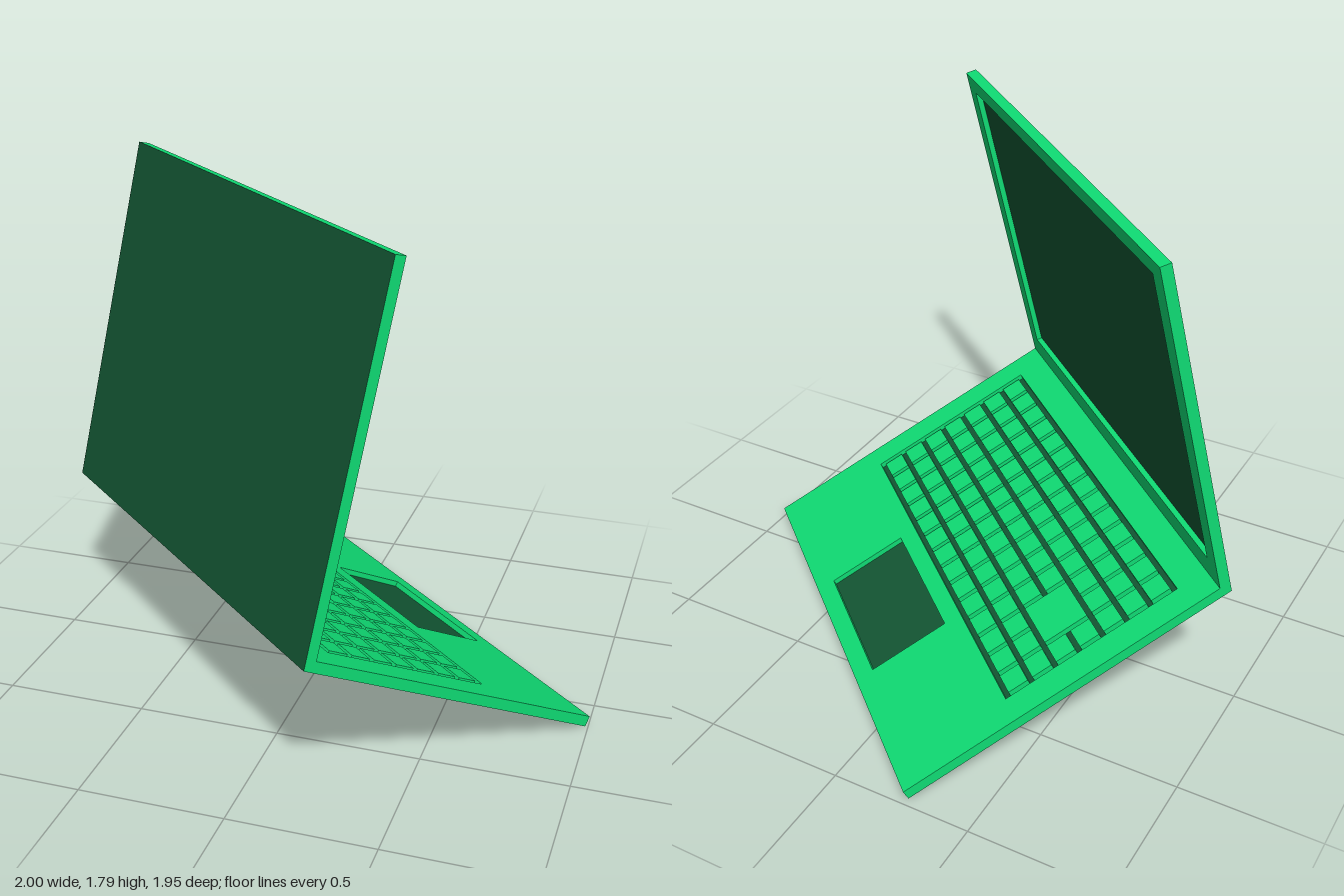
import * as THREE from 'three';

const green = new THREE.MeshStandardMaterial({ color: 0x0fdc74 });
const dark = new THREE.MeshStandardMaterial({ color: 0x135633 });

const WIDTH = 1.675, BACKING = 0.018, RIM = 0.02;

function rect(Type, x0, y0, x1, y1) {
  const p = new Type();
  p.moveTo(x0, y0);
  p.lineTo(x1, y0);
  p.lineTo(x1, y1);
  p.lineTo(x0, y1);
  p.closePath();
  return p;
}

function mesh(name, geometry, material) {
  const m = new THREE.Mesh(geometry, material);
  m.name = name;
  return m;
}

// A backing slab with a dark inner face, under a green plate with openings
function panel(name, y0, y1, holes, outerMaterial) {
  const g = new THREE.Group();
  g.name = name;
  const slab = mesh(name + 'Backing', new THREE.BoxGeometry(WIDTH, y1 - y0, BACKING),
    [green, green, green, green, dark, outerMaterial]);
  slab.position.set(0, (y0 + y1) / 2, BACKING / 2);
  const shape = rect(THREE.Shape, -WIDTH / 2, y0, WIDTH / 2, y1);
  for (const h of holes) shape.holes.push(rect(THREE.Path, ...h));
  const plate = mesh(name + 'Rim',
    new THREE.ExtrudeGeometry(shape, { depth: RIM, bevelEnabled: false }), green);
  plate.position.z = BACKING;
  g.add(slab, plate);
  return g;
}

// Grid of keys, with one large enter key replacing a 2 x 2 block
function keyboard(x0, y0, x1, y1, cols, rows) {
  const g = new THREE.Group();
  g.name = 'keyboard';
  const gap = 0.018;
  const px = (x1 - x0 - gap) / cols, py = (y1 - y0 - gap) / rows;
  const addKey = (name, c, r, cw, rh) => {
    const key = mesh(name, new THREE.BoxGeometry(px * cw - gap, py * rh - gap, RIM), green);
    key.position.set(x0 + gap / 2 + px * (c + cw / 2), y1 - gap / 2 - py * (r + rh / 2), BACKING + RIM / 2);
    g.add(key);
  };
  const ec = cols - 3, er = 3;
  for (let r = 0; r < rows; r++) {
    for (let c = 0; c < cols; c++) {
      const inEnter = c >= ec && c < ec + 2 && r >= er && r < er + 2;
      if (!inEnter) addKey('key', c, r, 1, 1);
    }
  }
  addKey('enterKey', ec, er, 2, 2);
  return g;
}

export function createModel() {
  const model = new THREE.Group();
  model.name = 'laptop';

  // Hinge line: both halves pivot about its x axis
  const hinge = new THREE.Group();
  hinge.name = 'hinge';
  hinge.position.set(-0.372, 0.56, 0.415);
  hinge.rotation.y = 2.417;
  model.add(hinge);

  // Lid with recessed screen
  const lid = panel('lid', 0, 1.265, [[-0.768, 0.112, 0.768, 1.21]], dark);
  lid.rotation.x = 0.237;

  // Base with keyboard well and recessed trackpad
  const keys = [-0.735, -0.81, 0.735, -0.142];
  const base = panel('base', -1.243, 0, [keys, [-0.268, -1.175, 0.268, -0.875]], green);
  base.rotation.x = -1.103;
  base.add(keyboard(...keys, 14, 7));

  hinge.add(lid, base);
  return model;
}
